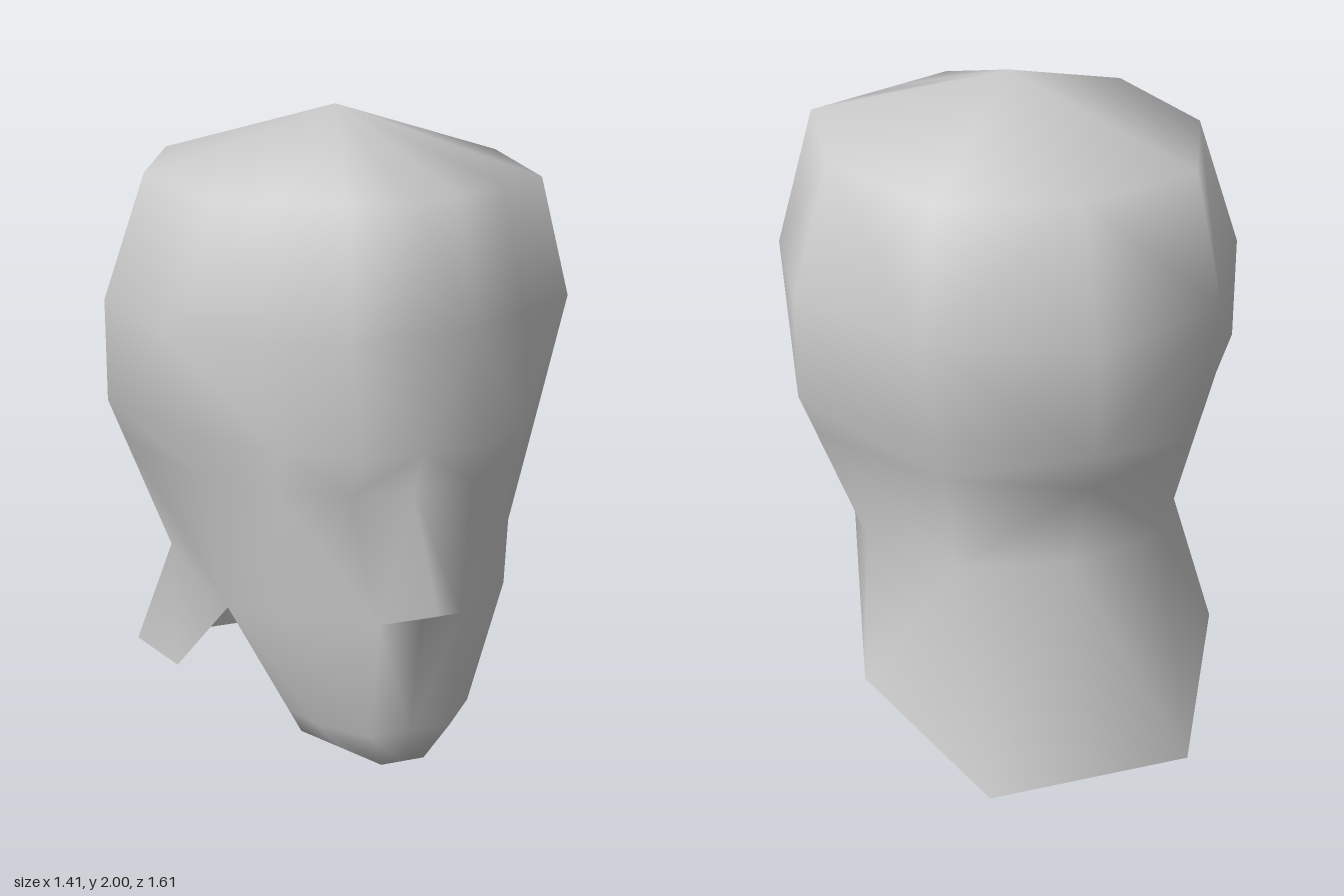
import * as THREE from 'three';

// Half rings run from the back centre, round the left side, to the front centre.
const level = (y, xs, zs) => xs.map((x, i) => [x, y, zs[i]]);

export function createModel() {
  const group = new THREE.Group();
  group.name = 'head';
  const grey = new THREE.MeshStandardMaterial({ color: 0xcccccc, side: THREE.DoubleSide });
  grey.name = 'light grey';

  // Skull and face: crown, temples, brow, eye line, then nape, cheeks and nose tip
  const rings = [
    level(1.81, [0, 0.39, 0.58, 0.51, 0.34, 0.17, 0], [-0.67, -0.54, -0.12, 0.36, 0.443, 0.527, 0.61]),
    level(1.42, [0, 0.45, 0.705, 0.645, 0.42, 0.19, 0], [-0.805, -0.61, -0.16, 0.29, 0.45, 0.61, 0.61]),
    level(1.1, [0, 0.4, 0.705, 0.576, 0.39, 0.19, 0], [-0.805, -0.577, -0.16, 0.269, 0.54, 0.67, 0.68]),
    level(0.97, [0, 0.38, 0.655, 0.548, 0.38, 0.19, 0], [-0.75, -0.563, -0.16, 0.26, 0.48, 0.61, 0.61]),
    [[0, 0.65, -0.61], [0.33, 0.65, -0.53], [0.51, 0.59, -0.16], [0.45, 0.52, 0.23],
      [0.36, 0.58, 0.48], [0.13, 0.59, 0.675], [0, 0.65, 0.805]],
  ];
  const points = [];
  const index = [];
  const columns = 12;
  for (const ring of rings) {
    points.push(...ring);
    for (let i = 5; i > 0; i--) points.push([-ring[i][0], ring[i][1], ring[i][2]]);
  }
  const quad = (a, b, c, d) => index.push(a, b, c, a, c, d);
  for (let r = 0; r < rings.length - 1; r++) {
    // Diagonals fan out from the brow points, the same on both sides
    const parity = r === 1 ? 1 : 0;
    for (let i = 0; i < columns; i++) {
      const j = (i + 1) % columns;
      const a = r * columns + i, b = r * columns + j;
      if (i % 2 === parity) quad(a, b, b + columns, a + columns);
      else quad(b, b + columns, a + columns, a);
    }
  }

  // Shallow peak on the crown
  const peak = points.push([0, 2, -0.03]) - 1;
  for (let i = 0; i < columns; i++) index.push(peak, (i + 1) % columns, i);

  // Flared nape and tapering jaw, hanging from the last ring as open flaps
  const last = (rings.length - 1) * columns;
  const nape = points.push([0, 0, -0.805]) - 1;
  const noseBase = points.push([0, 0.59, 0.68]) - 1;
  const jaw = points.push([0, 0.2, 0.61]) - 1;
  const chin = points.push([0, 0.07, 0.55]) - 1;
  const under = points.push([0, 0.13, 0.36]) - 1;
  for (const side of [1, -1]) {
    const add = (x, y, z) => points.push([side * x, y, z]) - 1;
    const top = (i) => last + (side > 0 ? i : (columns - i) % columns);
    const tri = (a, b, c) => (side > 0 ? index.push(a, b, c) : index.push(a, c, b));
    const face = (a, b, c, d) => { tri(a, b, c); tri(a, c, d); };

    const n1 = add(0.32, 0, -0.805), n2 = add(0.58, 0.2, -0.36), n3 = add(0.52, 0.2, -0.1);
    face(top(0), top(1), n1, nape);
    face(top(1), top(2), n2, n1);
    face(top(2), top(3), n3, n2);

    const j3 = add(0.294, 0.2, 0.337), j4 = add(0.25, 0.2, 0.47), j5 = add(0.13, 0.2, 0.61);
    const c3 = add(0.26, 0.13, 0.36), c4 = add(0.165, 0.1, 0.455), c5 = add(0.07, 0.07, 0.55);
    face(top(3), top(4), j4, j3);
    face(top(4), top(5), j5, j4);
    face(top(5), noseBase, jaw, j5);
    face(j3, j4, c4, c3);
    face(j4, j5, c5, c4);
    face(j5, jaw, chin, c5);
    // Undersides of the nose and chin
    tri(top(5), top(6), noseBase);
    face(c3, c4, c5, under);
    tri(under, c5, chin);
  }

  const geometry = new THREE.BufferGeometry();
  geometry.setAttribute('position', new THREE.Float32BufferAttribute(points.flat(), 3));
  geometry.setIndex(index);
  geometry.computeVertexNormals();
  const mesh = new THREE.Mesh(geometry, grey);
  mesh.name = 'skullAndFace';
  group.add(mesh);
  return group;
}
